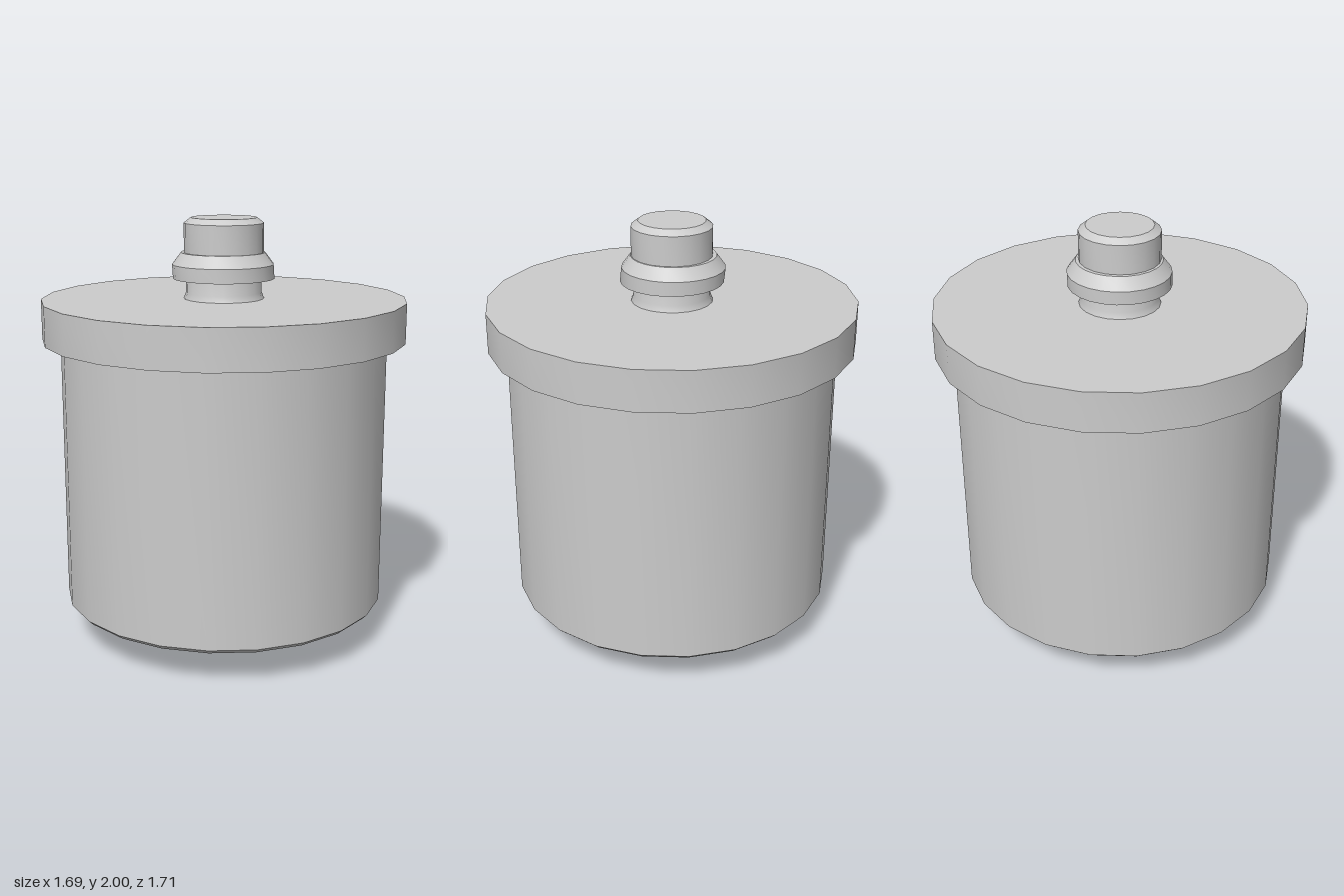
import * as THREE from 'three';
import { toCreasedNormals } from 'three/addons/utils/BufferGeometryUtils.js';

const material = new THREE.MeshStandardMaterial({ color: 0xcccccc });

// Turned part: [radius, height] pairs from bottom to top, smooth around, sharp at edges
function turned(name, sides, profile) {
  const points = profile.map(([r, y]) => new THREE.Vector2(r, y));
  const geometry = toCreasedNormals(new THREE.LatheGeometry(points, sides), 0.52);
  const mesh = new THREE.Mesh(geometry, material);
  mesh.name = name;
  return mesh;
}

export function createModel() {
  const group = new THREE.Group();
  group.name = 'flangedCanister';

  // Round foot, narrowing towards the bottom
  group.add(turned('foot', 24, [[0, 0], [0.342, 0], [0.355, 0.05], [0.37, 0.1], [0.37, 0.17]]));

  // Main cylinder with a small bevel at its lower rim
  group.add(turned('body', 22, [[0, 0.165], [0.745, 0.165], [0.768, 0.187], [0.768, 1.44]]));

  // Wide top flange
  group.add(turned('flange', 22, [[0, 1.44], [0.853, 1.44], [0.853, 1.627], [0, 1.627]]));

  // Stem with a slightly flared base
  group.add(turned('stem', 20, [[0.188, 1.627], [0.177, 1.655], [0.177, 1.85]]));

  // Collar, leaning very slightly sideways
  const collar = turned('collar', 24, [
    [0.17, 1.72], [0.238, 1.72], [0.238, 1.785], [0.197, 1.84], [0.17, 1.84],
  ]);
  const position = collar.geometry.attributes.position;
  for (let i = 0; i < position.count; i++) {
    position.setX(i, position.getX(i) - Math.min(position.getY(i) - 1.72, 0.06) * 0.12);
  }
  group.add(collar);

  // Chamfered tip
  group.add(turned('tip', 20, [[0, 1.83], [0.186, 1.83], [0.186, 1.975], [0.154, 2], [0, 2]]));

  return group;
}
